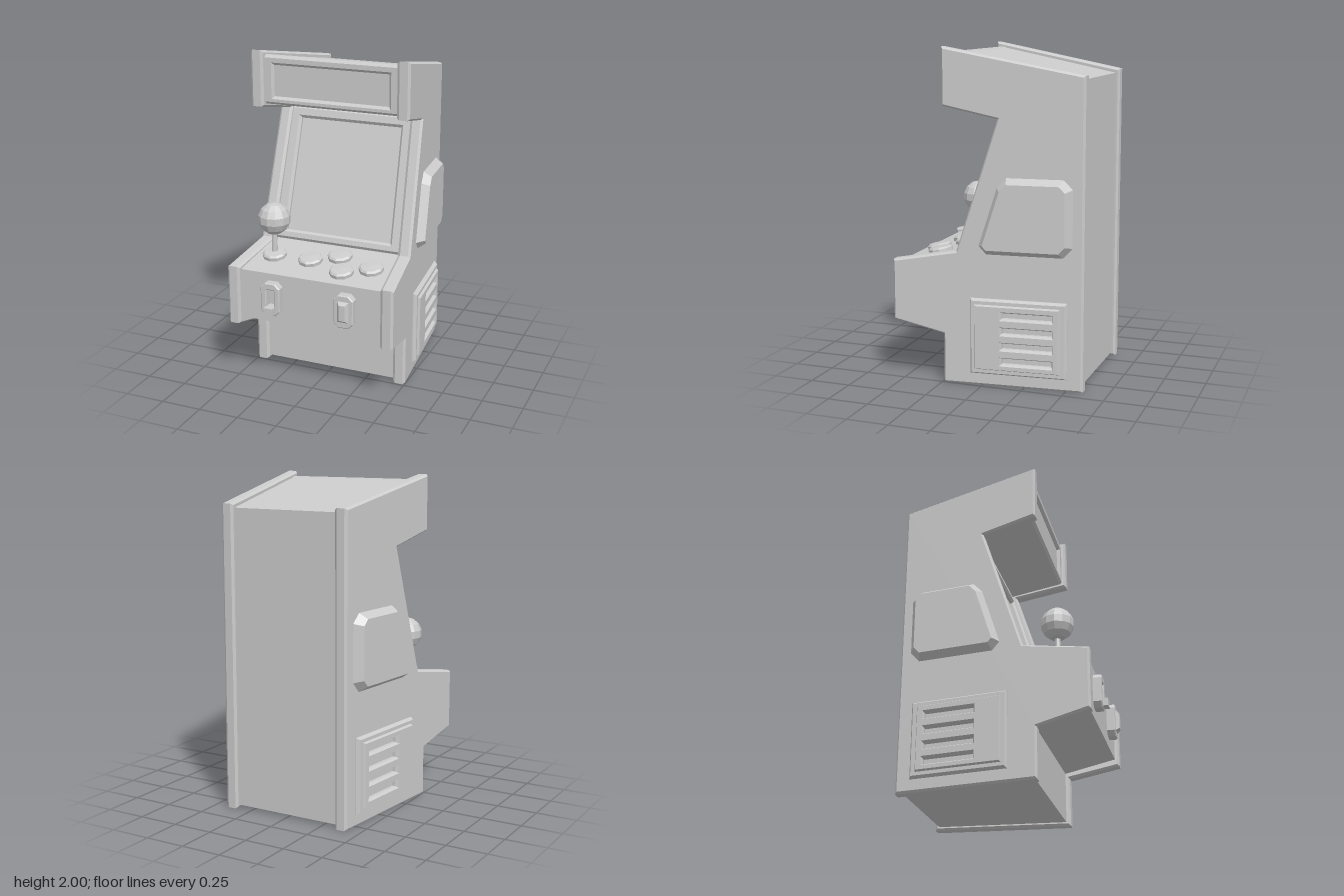
import * as THREE from 'three';

const material = new THREE.MeshStandardMaterial({ color: 0xcccccc, flatShading: true });
const vec = (pts) => pts.map(([x, y]) => new THREE.Vector2(x, y));
const rect = (w, h, cy = 0, cx = 0) => [[cx - w, cy - h], [cx + w, cy - h], [cx + w, cy + h], [cx - w, cy + h]];

function addMesh(parent, name, geometry, x = 0, y = 0, z = 0) {
  const mesh = new THREE.Mesh(geometry, material);
  mesh.name = name;
  mesh.position.set(x, y, z);
  parent.add(mesh);
  return mesh;
}

// Prism whose core spans z = -depth..0; chamfered ends reach beyond by bevelDepth
function prism(points, depth, bevel = 0, bevelDepth = bevel, holes = []) {
  const shape = new THREE.Shape(vec(points));
  holes.forEach((h) => shape.holes.push(new THREE.Path(vec(h))));
  const geometry = new THREE.ExtrudeGeometry(shape, {
    depth, bevelEnabled: bevel > 0, bevelSize: bevel, bevelOffset: -bevel,
    bevelThickness: bevelDepth, bevelSegments: 1,
  });
  return geometry.translate(0, 0, -depth);
}

// Turns a prism drawn in (-z, y) so that it is extruded along x
const sideways = (geometry) => geometry.rotateY(Math.PI / 2);
const flip = (pts) => pts.map(([z, y]) => [-z, y]);

// Moves every vertex in x by a rule depending on x and z
function bendX(geometry, rule) {
  const p = geometry.attributes.position;
  for (let i = 0; i < p.count; i++) p.setX(i, rule(p.getX(i), p.getZ(i)));
  geometry.computeVertexNormals();
  return geometry;
}

// Half width of the cabinet, growing from back to front
const innerX = (z) => 0.34 + 0.1 * (z + 0.6);
const outerX = (z) => innerX(z) + 0.08;

// Places a symmetric sideways slab on the given side, its core ending at the outer panel face plus offset
function splay(geometry, side, depth, offset) {
  return bendX(geometry, (x, z) => side * outerX(z) + x + depth / 2 + side * (offset - depth / 2));
}

// Profiles as [z, y]
const PANEL = [[0.24, 0], [0.24, 0.3], [0.55, 0.37], [0.55, 0.74], [0.16, 0.81],
  [-0.09, 1.59], [0.24, 1.66], [0.24, 2], [-0.6, 1.845], [-0.6, 0]];
const BODY = [[0.215, 0.02], [0.215, 0.33], [0.525, 0.41], [0.525, 0.72], [0.13, 0.8],
  [0.101, 0.791], [-0.144, 1.591], [-0.115, 1.605], [0.195, 1.675], [0.195, 1.966],
  [-0.575, 1.82], [-0.575, 0.02]];
const PAD = [[0.02, 0.85], [-0.025, 0.8], [-0.48, 0.8], [-0.535, 0.86],
  [-0.535, 1.2], [-0.48, 1.255], [-0.145, 1.255], [-0.09, 1.195]];
const VENT = [[0.07, 0.075], [-0.51, 0.075], [-0.51, 0.535], [0.07, 0.535]];

function addSide(parent, side) {
  const group = new THREE.Group();
  group.name = side > 0 ? 'leftSide' : 'rightSide';
  parent.add(group);

  addMesh(group, 'sidePanel', splay(sideways(prism(flip(PANEL), 0.05, 0.012, 0.015)), side, 0.05, -0.015));
  addMesh(group, 'sidePad', splay(sideways(prism(flip(PAD), 0.02, 0.033, 0.05)), side, 0.02, 0));

  // Vent plate with four louver slots
  const slots = [];
  for (let i = 0; i < 4; i++) slots.push(rect(0.15, 0.017, 0.165 + i * 0.092, 0.275));
  addMesh(group, 'ventPlate', splay(sideways(prism(flip(VENT), 0.02, 0.012, 0.02, slots)), side, 0.02, 0.005));
  const rim = [[0.04, 0.105], [-0.475, 0.105], [-0.475, 0.505], [0.04, 0.505]];
  addMesh(group, 'ventLouvers', splay(sideways(prism(flip(rim), 0.02, 0.01, 0.02, slots)), side, 0.02, 0.02));
}

function addControls(parent) {
  const deck = new THREE.Group();
  deck.name = 'controls';
  parent.add(deck);
  const deckY = (z) => 0.8 - (z - 0.13) * 0.2025;
  const tilt = Math.atan(0.2025);

  // Push buttons, chamfered ten-sided discs
  const button = new THREE.LatheGeometry(vec([[0.075, -0.01], [0.075, 0.02], [0.064, 0.03], [0, 0.034]]), 10);
  [[-0.08, 0.33], [0.08, 0.25], [0.155, 0.405], [0.315, 0.33]].forEach(([x, z]) => {
    addMesh(deck, 'button', button, x, deckY(z), z).rotation.x = tilt;
  });

  // Joystick
  const [x, z] = [-0.32, 0.33];
  addMesh(deck, 'joystickBase', button, x, deckY(z), z).rotation.x = tilt;
  addMesh(deck, 'joystickStick', new THREE.CylinderGeometry(0.015, 0.02, 0.16, 8), x, 0.85, z);
  addMesh(deck, 'joystickBall', new THREE.SphereGeometry(0.1, 12, 7), x, 1, z);
}

function addCoinSlots(parent) {
  const plate = [[-0.032, -0.103], [0.032, -0.103], [0.062, -0.073], [0.062, 0.073],
    [0.032, 0.103], [-0.032, 0.103], [-0.062, 0.073], [-0.062, -0.073]];
  const y = 0.573;

  // Slot with a lever
  const slot = new THREE.Group();
  slot.name = 'coinSlot';
  slot.position.set(-0.238, y, 0.525);
  parent.add(slot);
  addMesh(slot, 'slotPlate', prism(plate, 0.05, 0.006, 0.006, [rect(0.025, 0.06)]), 0, 0, 0.044);
  addMesh(slot, 'slotLever', new THREE.BoxGeometry(0.06, 0.045, 0.08), 0, -0.068, 0.04);

  // Plate with a tapered button
  const coinReturn = new THREE.Group();
  coinReturn.name = 'coinReturn';
  coinReturn.position.set(0.235, y, 0.525);
  parent.add(coinReturn);
  addMesh(coinReturn, 'returnPlate', prism(plate, 0.05, 0.006, 0.006), 0, 0, 0.044);
  addMesh(coinReturn, 'returnButton', prism(rect(0.036, 0.065), 0.02, 0.017, 0.022), 0, 0, 0.05);
}

export function createModel() {
  const model = new THREE.Group();
  model.name = 'arcadeCabinet';

  // Tapered body between the side panels
  const body = sideways(prism(flip(BODY), 1)).translate(0.5, 0, 0);
  addMesh(model, 'body', bendX(body, (x, z) => 2 * x * (innerX(z) + 0.02)));
  [-1, 1].forEach((side) => addSide(model, side));

  // Screen bezel, leaning back, around the recessed screen
  const bezel = [[-0.43, 0], [0.43, 0], [0.41, 0.837], [-0.41, 0.837]];
  const opening = [[-0.345, 0.06], [0.345, 0.06], [0.33, 0.765], [-0.33, 0.765]];
  addMesh(model, 'screenBezel', prism(bezel, 0.03, 0.015, 0.015, [opening]), 0, 0.7956, 0.1157)
    .rotation.x = -Math.atan2(0.245, 0.8);

  // Frame around the recessed marquee
  addMesh(model, 'marqueeFrame', prism(rect(0.44, 0.148, 1.822), 0.02, 0.015, 0.015, [rect(0.365, 0.095, 1.817)]), 0, 0, 0.2);

  addControls(model);
  addCoinSlots(model);
  return model;
}
